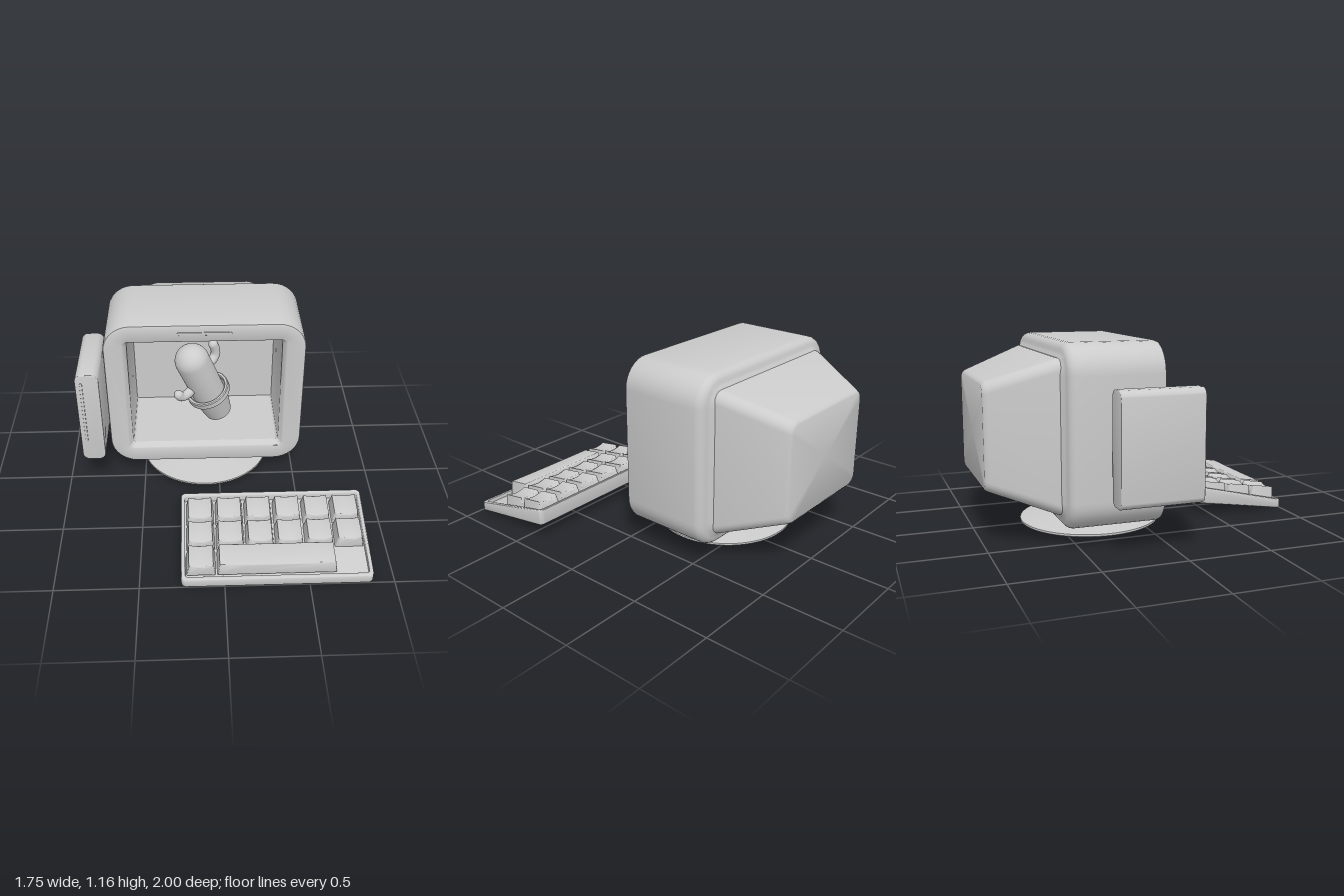
import * as THREE from 'three';
import { toCreasedNormals } from 'three/addons/utils/BufferGeometryUtils.js';

const material = new THREE.MeshStandardMaterial({ color: 0xcccccc });
const V = (x, y, z) => new THREE.Vector3(x, y, z);

function add(parent, name, geometry, x = 0, y = 0, z = 0) {
  const mesh = new THREE.Mesh(geometry, material);
  mesh.name = name;
  mesh.position.set(x, y, z);
  parent.add(mesh);
  return mesh;
}

// Skin through rounded-rectangle sections [width, height, radius, z]
function loft(sections, crease = 0.6, n = 8) {
  const pos = [], index = [], count = 4 * (n + 1);
  for (const [w, h, r, z] of sections) {
    for (let c = 0; c < 4; c++) {
      const sx = c === 0 || c === 3 ? 1 : -1, sy = c < 2 ? 1 : -1;
      for (let k = 0; k <= n; k++) {
        const a = (c + k / n) * Math.PI / 2;
        pos.push(sx * (w / 2 - r) + r * Math.cos(a), sy * (h / 2 - r) + r * Math.sin(a), z);
      }
    }
  }
  for (let s = 0; s < sections.length - 1; s++) {
    for (let i = 0; i < count; i++) {
      const j = (i + 1) % count, a = s * count + i, b = s * count + j;
      index.push(a, b, b + count, a, b + count, a + count);
    }
  }
  const g = new THREE.BufferGeometry();
  g.setAttribute('position', new THREE.Float32BufferAttribute(pos, 3));
  g.setIndex(index);
  return toCreasedNormals(g, crease);
}

function roundedRect(w, h, r, Type = THREE.Shape) {
  const s = new Type(), x = w / 2, y = h / 2;
  s.absarc(x - r, y - r, r, 0, Math.PI / 2);
  s.absarc(r - x, y - r, r, Math.PI / 2, Math.PI);
  s.absarc(r - x, r - y, r, Math.PI, Math.PI * 1.5);
  s.absarc(x - r, r - y, r, Math.PI * 1.5, Math.PI * 2);
  s.closePath();
  return s;
}

// Extrusion whose bevel stays inside the given outline and depth
function slab(shape, depth, bevel, crease = 0.6) {
  const g = new THREE.ExtrudeGeometry(shape, {
    depth: depth - 2 * bevel, bevelThickness: bevel, bevelSize: bevel,
    bevelOffset: -bevel, bevelSegments: 3, curveSegments: 8,
  });
  g.translate(0, 0, bevel);
  return toCreasedNormals(g, crease);
}

function lathe(points, segments = 48) {
  const g = new THREE.LatheGeometry(points.map(([x, y]) => new THREE.Vector2(x, y)), segments);
  return toCreasedNormals(g, 0.5);
}

function buildMonitor() {
  const g = new THREE.Group();
  g.name = 'monitor';
  const cx = -0.087, cy = 0.64;
  const W = 1.255, H = 1.05;

  add(g, 'rearHousing', loft([
    [0, 0, 0, -1], [0.72, 0.58, 0.05, -1], [0.745, 0.605, 0.06, -0.993],
    [0.765, 0.625, 0.065, -0.975], [1.07, 0.88, 0.07, -0.61], [1.07, 0.88, 0.07, -0.57],
  ]), cx, cy);

  // Shell: rear ledge, rounded rear edge, sides, front frame and lip
  const shell = [[1.07, 0.87, 0.09, -0.607], [1.12, 0.92, 0.11, -0.59]];
  for (let k = 0; k <= 5; k++) {
    const a = k / 5 * Math.PI / 2, inset = 0.055 * (1 - Math.sin(a));
    shell.push([W - 2 * inset, H - 2 * inset, 0.175 - inset, -0.53 - 0.055 * Math.cos(a)]);
  }
  shell.push([W, H, 0.175, -0.038], [W - 0.01, H - 0.01, 0.17, -0.025], [W - 0.035, H - 0.035, 0.16, -0.02],
    [1.02, 0.835, 0.035, -0.02], [1.005, 0.82, 0.03, -0.024], [0.965, 0.78, 0.02, -0.06]);
  add(g, 'shell', loft(shell), cx, cy - 0.002);

  add(g, 'screenCavity', loft([
    [0.965, 0.78, 0.02, -0.06], [0.96, 0.775, 0.015, -0.56], [0, 0, 0, -0.56],
  ]), cx, cy - 0.002);

  add(g, 'topSlot', slab(roundedRect(0.335, 0.02, 0.0099), 0.012, 0.002), cx, 1.105, -0.028);
  add(g, 'statusLight', slab(roundedRect(0.025, 0.006, 0.0029), 0.01, 0.001), 0.38, 0.222, -0.027);

  // Swivel stand
  add(g, 'stand', lathe([
    [0, 0.025], [0.42, 0.025], [0.43, 0.032], [0.43, 0.044], [0.425, 0.048],
    [0.16, 0.085], [0.155, 0.09], [0.155, 0.16], [0, 0.16],
  ], 64), -0.09, 0, -0.285);
  return g;
}

function buildSidePanel() {
  const g = new THREE.Group();
  g.name = 'sidePanel';
  add(g, 'panelBody', slab(roundedRect(0.145, 0.65, 0.045), 0.495, 0.006), -0.807, 0.6, -0.35);
  add(g, 'panelSlot', slab(roundedRect(0.016, 0.45, 0.0079), 0.01, 0.002), -0.843, 0.645, 0.139);
  return g;
}

function buildCactus() {
  const g = new THREE.Group();
  g.name = 'pottedCactus';
  add(g, 'pot', lathe([
    [0, 0], [0.084, 0], [0.09, 0.006], [0.122, 0.195], [0.14, 0.195], [0.146, 0.201],
    [0.146, 0.238], [0.14, 0.244], [0.126, 0.244], [0.12, 0.238], [0.12, 0.215], [0, 0.215],
  ]));
  const trunk = [[0.11, 0.2]];
  for (let k = 0; k <= 12; k++) {
    const a = k / 12 * Math.PI / 2;
    trunk.push([0.112 * Math.cos(a), 0.528 + 0.112 * Math.sin(a)]);
  }
  add(g, 'trunk', lathe(trunk));

  // Bent arms with rounded tips
  const arms = [
    ['leftArm', [[0.08, 0.405], [0.13, 0.405], [0.165, 0.425], [0.18, 0.46], [0.182, 0.505]]],
    ['rightArm', [[-0.08, 0.335], [-0.13, 0.332], [-0.165, 0.34], [-0.188, 0.36], [-0.195, 0.385]]],
  ];
  for (const [name, path] of arms) {
    const points = path.map(([x, y]) => V(x, y, 0)), tip = points[points.length - 1];
    add(g, name, new THREE.TubeGeometry(new THREE.CatmullRomCurve3(points), 20, 0.031, 16));
    add(g, name + 'Tip', new THREE.SphereGeometry(0.031, 16, 12), tip.x, tip.y, 0);
  }
  g.rotation.set(0.23, 0.64, 0.34, 'ZXY');
  g.position.set(0.005, 0.343, -0.27);
  return g;
}

// Keycap: tapered front outline with a dished top, narrowed front to back as well
function keycap(w, d, h, dish) {
  const s = new THREE.Shape(), t = w / 2 - 0.014;
  s.moveTo(-w / 2, 0);
  s.lineTo(w / 2, 0);
  s.lineTo(t, h);
  s.quadraticCurveTo(0, h - 2 * dish, -t, h);
  s.closePath();
  const g = slab(s, d, 0.009, 0.7);
  g.translate(0, 0, -d / 2);
  const p = g.attributes.position;
  for (let i = 0; i < p.count; i++) p.setZ(i, p.getZ(i) * (1 - 0.12 * p.getY(i) / h));
  return toCreasedNormals(g, 0.7);
}

function buildKeyboard() {
  const g = new THREE.Group();
  g.name = 'keyboard';
  const cx = 0.31, cz = 0.7, T = 0.1;

  // Reshape a flat slab into the wedge between sloping bottom and top planes
  const wedge = (shape, thickness) => {
    const geo = slab(shape, thickness, 0.012);
    geo.rotateX(-Math.PI / 2);
    const p = geo.attributes.position;
    for (let i = 0; i < p.count; i++) {
      const back = (0.3 - p.getZ(i)) / 0.6, low = 0.09 * back, high = 0.06 + 0.138 * back;
      p.setY(i, low + (high - low) * p.getY(i) / T);
    }
    return toCreasedNormals(geo, 0.6);
  };
  const rim = roundedRect(1.13, 0.6, 0.03);
  rim.holes.push(roundedRect(1.08, 0.55, 0.015, THREE.Path));
  add(g, 'keyboardRim', wedge(rim, T), cx, 0, cz);
  add(g, 'keyboardBase', wedge(roundedRect(1.128, 0.598, 0.03), T * 0.55), cx, 0, cz);

  // Rows of keys: [centre z, top height]
  const h = 0.09, pitch = 0.179, x0 = -0.137;
  const key = keycap(0.17, 0.168, h, 0.014);
  const place = (name, geo, x, [z, top]) => {
    add(g, name, geo, x, top - h, z).rotation.x = 0.15;
  };
  const rows = [[0.525, 0.207], [0.7, 0.178], [0.875, 0.152]];
  rows.forEach((row, r) => {
    for (let c = 0; c < 6; c++) {
      if (r < 2 || c === 0) place('key', key, x0 + c * pitch, row);
    }
  });
  place('spaceBar', keycap(0.705, 0.168, h, 0.002), x0 + 2.5 * pitch, rows[2]);
  return g;
}

export function createModel() {
  const model = new THREE.Group();
  model.name = 'desktopComputer';
  model.add(buildMonitor(), buildSidePanel(), buildCactus(), buildKeyboard());
  return model;
}
